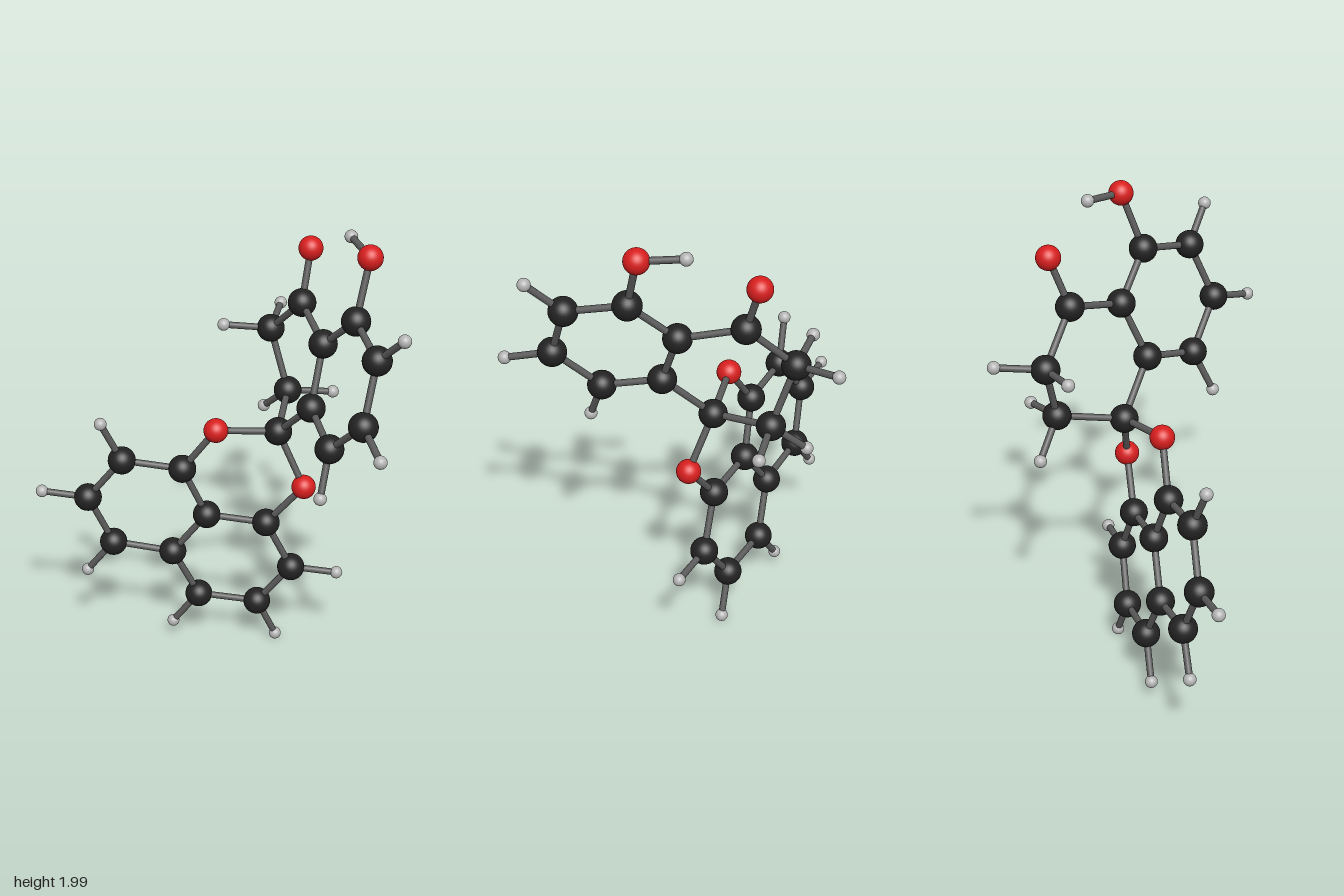
import * as THREE from 'three';

// Radius and colour of each kind of ball
const KINDS = {
  carbon: { radius: 0.06, color: 0x222222 },
  oxygen: { radius: 0.052, color: 0xd81e1e },
  hydrogen: { radius: 0.027, color: 0xb4b4b4 },
};
const BOND_RADIUS = 0.0145;

// Ball centres
const CARBON = {
  spiro: [-0.05, 1.10, -0.17],
  // upper ring system
  a1: [0.16, 1.295, -0.16], a2: [0.12, 1.54, -0.26], a3: [-0.125, 1.61, -0.37],
  a4: [-0.33, 1.42, -0.38], a5: [-0.23, 1.155, -0.39], a6: [0.315, 1.71, -0.25],
  a7: [0.545, 1.655, -0.14], a8: [0.58, 1.415, -0.04], a9: [0.385, 1.235, -0.05],
  // lower ring system
  b1: [-0.07, 0.66, -0.12], b2: [-0.255, 0.69, 0.06], b3: [-0.305, 0.93, 0.15],
  b4: [-0.485, 0.965, 0.335], b5: [-0.62, 0.76, 0.425], b6: [-0.57, 0.52, 0.335],
  b7: [-0.385, 0.48, 0.15], b8: [-0.325, 0.245, 0.055], b9: [-0.135, 0.22, -0.125],
  b10: [-0.005, 0.425, -0.21],
};
const OXYGEN = {
  ketone: [-0.155, 1.825, -0.445], hydroxyl: [0.295, 1.95, -0.34],
  bridge1: [-0.18, 1.135, 0.065], bridge2: [0.065, 0.86, -0.215],
};
// Each hydrogen hangs on one parent ball
const HYDROGEN = [
  ['hydroxyl', 0.12, 1.97, -0.405], ['a7', 0.69, 1.79, -0.135],
  ['a8', 0.76, 1.365, 0.045], ['a9', 0.42, 1.05, 0.03],
  ['a4', -0.45, 1.45, -0.548], ['a4', -0.45, 1.445, -0.215],
  ['a5', -0.385, 1.02, -0.39], ['a5', -0.13, 1.125, -0.567],
  ['b4', -0.525, 1.15, 0.41], ['b5', -0.76, 0.785, 0.567],
  ['b6', -0.67, 0.36, 0.41], ['b8', -0.425, 0.08, 0.125],
  ['b9', -0.09, 0.035, -0.195], ['b10', 0.14, 0.405, -0.35],
];
// Chains of bonded balls
const CHAINS = [
  'spiro a1 a2 a3 a4 a5 spiro',
  'a2 a6 a7 a8 a9 a1',
  'a3 ketone', 'a6 hydroxyl',
  'spiro bridge1 b3 b2 b1 bridge2 spiro',
  'b3 b4 b5 b6 b7 b2',
  'b7 b8 b9 b10 b1',
];

export function createModel() {
  const model = new THREE.Group();
  model.name = 'molecule';
  const balls = new THREE.Group();
  balls.name = 'atoms';
  const rods = new THREE.Group();
  rods.name = 'bonds';
  model.add(balls, rods);

  const parts = {};
  for (const [kind, { radius, color }] of Object.entries(KINDS)) {
    parts[kind] = {
      geometry: new THREE.SphereGeometry(radius, 32, 20),
      material: new THREE.MeshStandardMaterial({ color }),
    };
  }
  const rodMaterial = new THREE.MeshStandardMaterial({ color: 0x5a5a5a });
  const centres = {};

  function addBall(kind, position) {
    const ball = new THREE.Mesh(parts[kind].geometry, parts[kind].material);
    ball.name = kind + 'Atom';
    ball.position.set(...position);
    balls.add(ball);
    return ball.position;
  }

  function addRod(from, to) {
    const along = to.clone().sub(from);
    const geometry = new THREE.CylinderGeometry(BOND_RADIUS, BOND_RADIUS, along.length(), 16);
    const rod = new THREE.Mesh(geometry, rodMaterial);
    rod.name = 'bond';
    rod.position.copy(from).lerp(to, 0.5);
    rod.quaternion.setFromUnitVectors(new THREE.Vector3(0, 1, 0), along.normalize());
    rods.add(rod);
  }

  // Carbon and oxygen skeleton
  for (const [key, p] of Object.entries(CARBON)) centres[key] = addBall('carbon', p);
  for (const [key, p] of Object.entries(OXYGEN)) centres[key] = addBall('oxygen', p);
  for (const chain of CHAINS) {
    const keys = chain.split(' ');
    for (let i = 1; i < keys.length; i++) addRod(centres[keys[i - 1]], centres[keys[i]]);
  }

  // Hydrogens with their bonds
  for (const [parent, ...p] of HYDROGEN) addRod(centres[parent], addBall('hydrogen', p));

  return model;
}
